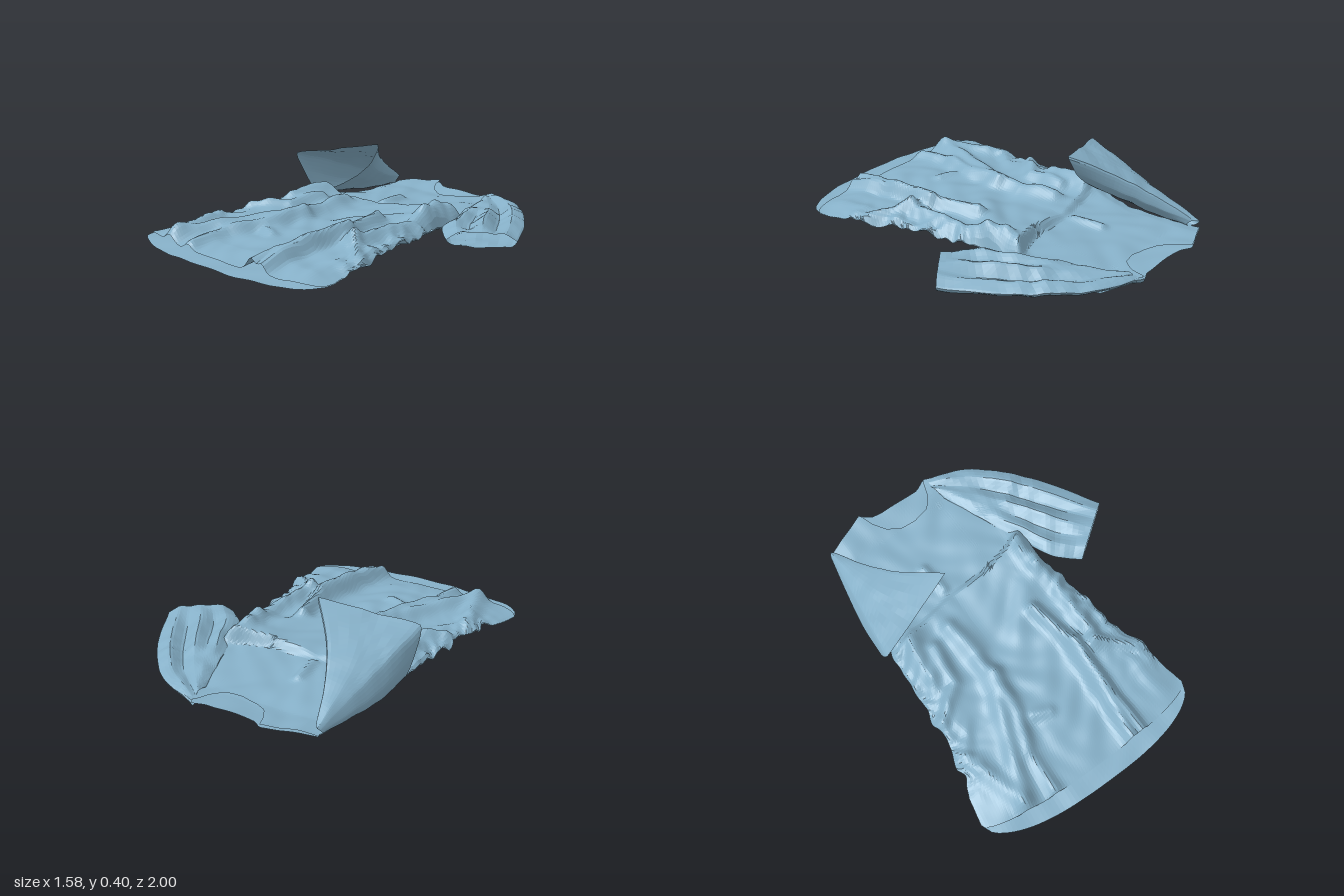
import * as THREE from 'three';

const cloth = new THREE.MeshStandardMaterial({ color: 0x86b0c8, side: THREE.DoubleSide, flatShading: true });

// Piecewise linear lookup in [key, value] pairs
function lookup(table, k) {
  if (k <= table[0][0]) return table[0][1];
  for (let i = 1; i < table.length; i++) {
    const [a, va] = table[i - 1], [b, vb] = table[i];
    if (k <= b) return va + (vb - va) * (k - a) / (b - a);
  }
  return table[table.length - 1][1];
}

// Smooth crumple pattern, about -1 to 1
function crumple(x, z) {
  const a = x + 0.06 * Math.sin(9 * z + 1), b = z + 0.07 * Math.sin(11 * x);
  return 0.5 * Math.sin(17 * a + 5 * b) * Math.cos(8 * b - 4 * a)
    + 0.3 * Math.sin(29 * b + 13 * a) + 0.2 * Math.sin(41 * a - 19 * b + 2);
}

// Distance from (x, z) to a polyline
function distance(path, x, z) {
  let best = Infinity;
  for (let i = 1; i < path.length; i++) {
    const [ax, az] = path[i - 1], dx = path[i][0] - ax, dz = path[i][1] - az;
    const t = THREE.MathUtils.clamp(((x - ax) * dx + (z - az) * dz) / (dx * dx + dz * dz), 0, 1);
    best = Math.min(best, Math.hypot(x - ax - t * dx, z - az - t * dz));
  }
  return best;
}

// Grid surface from a point function of u and v
function surface(name, nu, nv, point) {
  const positions = [], index = [];
  for (let j = 0; j <= nv; j++) for (let i = 0; i <= nu; i++) positions.push(...point(i / nu, j / nv));
  for (let j = 0; j < nv; j++) for (let i = 0; i < nu; i++) {
    const a = j * (nu + 1) + i, b = a + nu + 1;
    index.push(a, b, a + 1, b, b + 1, a + 1);
  }
  const geometry = new THREE.BufferGeometry();
  geometry.setAttribute('position', new THREE.Float32BufferAttribute(positions, 3));
  geometry.setIndex(index);
  geometry.computeVertexNormals();
  const mesh = new THREE.Mesh(geometry, cloth);
  mesh.name = name;
  return mesh;
}

// Side outlines of the body, keyed by z
const rightSide = [[-0.9, -0.6], [-0.5, -0.6], [-0.15, -0.66], [0, -0.67], [0.14, -0.67], [0.24, -0.7],
  [0.34, -0.68], [0.5, -0.73], [0.55, -0.72], [0.65, -0.76], [0.8, -0.79]];
const leftSide = [[-0.9, 0.3], [-0.5, 0.34], [-0.2, 0.32], [0, 0.36], [0.2, 0.39], [0.38, 0.42],
  [0.5, 0.485], [0.6, 0.48], [0.8, 0.52]];

// Shoulder and neck edges, keyed by x
const backNeck = [[-0.6, -0.9], [-0.35, -1], [-0.3, -0.96], [-0.24, -0.95], [0, -0.95], [0.06, -0.98], [0.3, -0.88]];
const frontNeck = [[-0.6, -0.9], [-0.35, -1], [-0.32, -0.92], [-0.27, -0.85], [-0.2, -0.81], [-0.11, -0.8],
  [-0.02, -0.82], [0.03, -0.88], [0.06, -0.98], [0.3, -0.88]];

// Folds of the front: height, width, path
const folds = [
  [0.05, 0.05, [[-0.32, -0.15], [-0.29, 0.05], [-0.33, 0.28], [-0.43, 0.55], [-0.54, 0.85]]],
  [0.045, 0.04, [[-0.27, 0.2], [-0.3, 0.45], [-0.38, 0.65], [-0.38, 0.87]]],
  [0.065, 0.04, [[0.1, 0.03], [0.15, 0.25], [0.13, 0.6], [0.11, 0.89]]],
  [0.045, 0.03, [[0.18, 0.3], [0.17, 0.6], [0.18, 0.89]]],
  [0.09, 0.07, [[0.27, -0.26], [0.28, -0.19]]],
  [0.05, 0.05, [[0.29, -0.15], [0.3, 0], [0.27, 0.35]]],
  [0.04, 0.04, [[-0.64, 0.25], [-0.48, 0.12], [-0.45, -0.1]]],
  [0.045, 0.05, [[-0.66, 0.5], [-0.6, 0.65], [-0.56, 0.82]]],
  [0.035, 0.035, [[0.44, 0.5], [0.34, 0.42], [0.26, 0.36]]],
  [0.025, 0.035, [[-0.24, 0.5], [-0.16, 0.53]]],
  [0.025, 0.03, [[-0.24, -0.52], [-0.22, -0.36]]],
  [0.05, 0.04, [[0.3, -0.55], [0.33, -0.42], [0.28, -0.36]]],
  [0.05, 0.06, [[-0.6, -0.24], [-0.54, -0.22], [-0.57, 0.02]]],
];
const waistLip = [[-0.7, -0.18], [-0.5, -0.25], [-0.2, -0.31], [0.02, -0.31], [0.18, -0.35], [0.35, -0.42]];
const waistGather = [[-0.6, 0.045], [-0.2, 0.02], [-0.05, 0.045], [0.15, 0.07], [0.3, 0.07]];
const bodyHeight = [[-0.95, 0.03], [-0.4, 0.055], [0, 0.068], [0.4, 0.065], [0.75, 0.045], [0.9, 0.02]];

function bodyPoint(u, v, neck, hemDrop) {
  const s = 2 * u - 1;
  const sideZ = -0.9 + 1.7 * v;
  const x0 = lookup(rightSide, sideZ), x1 = lookup(leftSide, sideZ);
  const x = x0 + (x1 - x0) * u;
  const top = lookup(neck, -0.6 + 0.9 * u);
  const hem = 0.8 + hemDrop * Math.sqrt(Math.max(0, 1 - Math.abs(s) ** 2.5));
  const z = -0.9 + (hem + 0.9) * v + (top + 0.9) * (1 - v) ** 3;
  const edge = Math.abs(s) ** 7 * (v < 0.85 ? 1 : (1 - v) / 0.15);
  // Gathered sides and the neck end lift off the ground
  const sideLift = 0.03 * edge * lookup([[-0.45, 0], [-0.2, 1], [0.5, 1], [0.75, 0]], z) * (1 + crumple(x * 2, z * 2));
  const neckLift = lookup([[-1, 0.025], [-0.8, 0]], z);
  const y = 0.014 + 0.008 * crumple(x * 0.7, z * 0.7) + sideLift + neckLift;
  return [x + 0.012 * edge * crumple(x, z * 1.6), y, z];
}

function frontPoint(u, v) {
  const [x, y, z] = bodyPoint(u, v, frontNeck, 0.1);
  const rise = Math.min(1, Math.min(u, 1 - u) / 0.1) ** 0.5;
  let h = lookup(bodyHeight, z);
  // Cloth gathered over the waist, with a steep lip at its upper end
  const past = z - lookup(waistLip, x);
  const lip = THREE.MathUtils.smoothstep(past, -0.02, 0.025);
  h += lookup(waistGather, x) * lip * Math.exp(-Math.max(0, past) * 3.5);
  for (const [height, width, path] of folds) h += height * Math.exp(-((distance(path, x, z) / width) ** 2));
  const rough = lookup([[-0.5, 0.005], [-0.3, 0.012], [0.7, 0.012], [0.9, 0.003]], z);
  return [x, Math.max(y + 0.004, y + rise * (h - 0.015 + rough * crumple(x, z))), z];
}

// Tube of cloth through loops of points
function sleeve(name, loops, rough) {
  const curves = loops.map(l => new THREE.CatmullRomCurve3(l.map(p => new THREE.Vector3(...p)), true, 'catmullrom', 0.25));
  return surface(name, 40, 28, (u, v) => {
    const along = new THREE.CatmullRomCurve3(curves.map(c => c.getPoint(u % 1)));
    const p = along.getPoint(v);
    p.y = Math.max(0.01, p.y + rough * crumple(p.x * 1.3, p.z * 1.3));
    return [p.x, p.y, p.z];
  });
}

// Flat loop from the outer to the inner edge, with folds along its upper side
function flatLoop([ox, oz, ix, iz, height, ...profile]) {
  const loop = profile.map((k, i) => {
    const t = i / (profile.length - 1);
    return [ox + (ix - ox) * t, 0.02 + (height - 0.02) * k, oz + (iz - oz) * t];
  });
  for (const t of [0.9, 0.5, 0.1]) loop.push([ox + (ix - ox) * t, 0.018, oz + (iz - oz) * t]);
  return loop;
}

export function createModel() {
  const shirt = new THREE.Group();
  shirt.name = 'crumpledShirt';

  shirt.add(surface('backPanel', 56, 80, (u, v) => bodyPoint(u, v, backNeck, 0.2)));
  shirt.add(surface('frontPanel', 84, 130, frontPoint));

  // Left sleeve lies flat
  shirt.add(sleeve('leftSleeve', [
    [0.06, -0.98, 0.1, -0.82, 0.055, 0.6, 0.9, 0.8, 1, 0.8, 0.7, 0.5],
    [0.3, -0.89, 0.22, -0.52, 0.075, 0.5, 0.9, 0.5, 0.9, 1, 0.9, 0.6],
    [0.48, -0.73, 0.31, -0.32, 0.1, 0.4, 0.8, 0.3, 0.9, 0.6, 1, 0.4],
    [0.63, -0.54, 0.37, -0.18, 0.105, 0.3, 0.7, 0.4, 1, 0.5, 0.9, 0.5],
    [0.785, -0.275, 0.5, -0.06, 0.1, 0.4, 0.8, 0.85, 1, 0.9, 0.8, 0.3],
  ].map(flatLoop), 0.01));

  // Right sleeve stands up and opens to the front
  shirt.add(sleeve('rightSleeve', [
    [[-0.61, 0.06, -0.89], [-0.6, 0.07, -0.9], [-0.58, 0.07, -0.88], [-0.57, 0.065, -0.86], [-0.57, 0.045, -0.84], [-0.58, 0.03, -0.84], [-0.61, 0.03, -0.86], [-0.615, 0.045, -0.88]],
    [[-0.635, 0.13, -0.66], [-0.59, 0.155, -0.7], [-0.51, 0.17, -0.7], [-0.5, 0.12, -0.68], [-0.53, 0.08, -0.66], [-0.57, 0.04, -0.64], [-0.65, 0.03, -0.64], [-0.66, 0.07, -0.65]],
    [[-0.67, 0.22, -0.4], [-0.56, 0.25, -0.47], [-0.4, 0.28, -0.51], [-0.4, 0.2, -0.49], [-0.46, 0.13, -0.47], [-0.56, 0.07, -0.43], [-0.68, 0.04, -0.42], [-0.7, 0.12, -0.41]],
    [[-0.7, 0.31, -0.14], [-0.47, 0.35, -0.22], [-0.22, 0.4, -0.31], [-0.28, 0.29, -0.32], [-0.38, 0.195, -0.31], [-0.53, 0.115, -0.28], [-0.69, 0.07, -0.27], [-0.715, 0.2, -0.2]],
  ], 0.006));

  return shirt;
}
